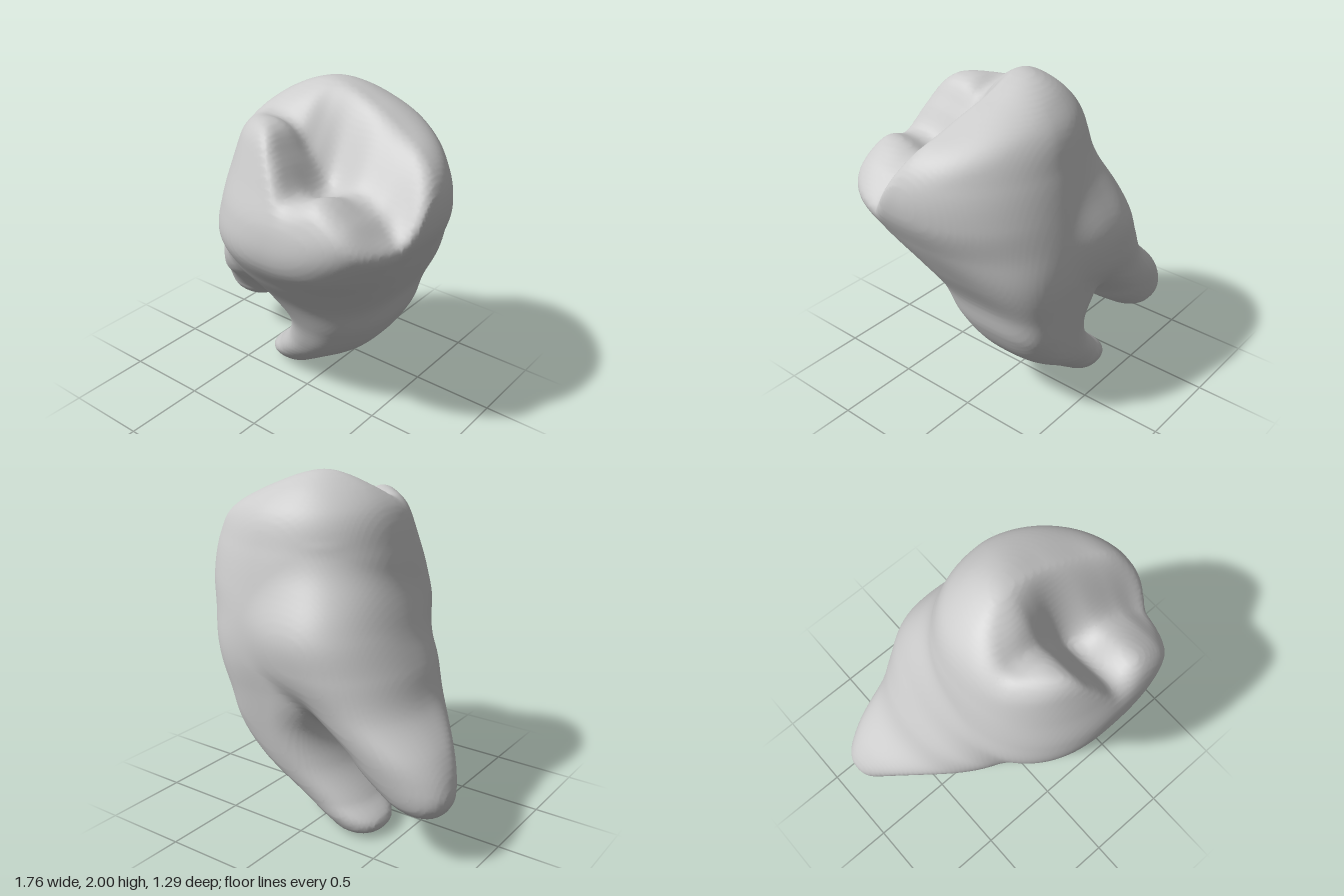
import * as THREE from 'three';

// Horizontal cross-sections: [y, xMin, xMax, zMin, zMax, squareness of front +x corner, of back +x corner]
const CROWN_AND_FRONT_ROOT = [
  [0.0, -0.28, -0.23, -0.29, -0.22, 2.2, 2.2],
  [0.018, -0.36, -0.15, -0.36, -0.14, 2.2, 2.2],
  [0.07, -0.41, -0.07, -0.41, -0.07, 2.2, 2.3],
  [0.2, -0.3, 0.1, -0.45, 0.03, 2.2, 2.5],
  [0.4, -0.155, 0.36, -0.5, 0.14, 2.2, 3],
  [0.6, -0.12, 0.49, -0.535, 0.23, 2.3, 3.9],
  [0.8, -0.25, 0.555, -0.565, 0.34, 2.3, 4.2],
  [1.0, -0.38, 0.67, -0.595, 0.49, 2.4, 3.3],
  [1.2, -0.4, 0.78, -0.59, 0.625, 2.7, 2.4],
  [1.4, -0.355, 0.87, -0.55, 0.64, 3.2, 2.0],
  [1.6, -0.31, 0.865, -0.5, 0.575, 3.1, 1.8],
  [1.8, -0.24, 0.75, -0.43, 0.5, 2.7, 1.75],
  [1.9, -0.16, 0.58, -0.34, 0.46, 2.4, 1.9],
  [2.05, 0.0, 0.3, -0.15, 0.3, 2.3, 2.0],
];
const SIDE_ROOT = [
  [0.28, -0.73, -0.68, -0.38, -0.33, 2.2, 2.2],
  [0.3, -0.81, -0.61, -0.44, -0.26, 2.2, 2.2],
  [0.35, -0.865, -0.51, -0.49, -0.2, 2.2, 2.2],
  [0.4, -0.88, -0.44, -0.51, -0.17, 2.2, 2.2],
  [0.5, -0.855, -0.31, -0.535, -0.09, 2.2, 2.2],
  [0.6, -0.795, -0.22, -0.555, 0.01, 2.2, 2.3],
  [0.8, -0.62, 0.04, -0.585, 0.25, 2.2, 2.5],
  [1.0, -0.53, 0.31, -0.63, 0.38, 2.2, 2.5],
  [1.2, -0.43, 0.38, -0.635, 0.37, 2.2, 2.3],
  [1.4, -0.32, 0.33, -0.53, 0.25, 2.2, 2.2],
  [1.6, -0.15, 0.2, -0.35, 0.15, 2.2, 2.2],
];
// Heights of the chewing surface along x, for the front and back cusps
const FRONT_CUSPS = [[-0.4, 1.78], [-0.1, 1.85], [0.1, 1.84], [0.19, 1.72], [0.3, 1.57],
  [0.5, 1.6], [0.65, 1.52], [0.8, 1.39], [1, 1.36]];
const BACK_CUSPS = [[-0.4, 1.88], [-0.1, 1.96], [0.12, 2.0], [0.4, 1.91], [0.62, 1.81],
  [0.75, 1.75], [1, 1.6]];

// Smooth curve through rows of [key, ...values]
function curve(rows) {
  const c = new THREE.CubicInterpolant(rows.map((r) => r[0]),
    rows.flatMap((r) => r.slice(1)), rows[0].length - 1);
  return (t) => Array.from(c.evaluate(t));
}
const bodyAt = curve(CROWN_AND_FRONT_ROOT);
const rootAt = curve(SIDE_ROOT);
const frontAt = curve(FRONT_CUSPS);
const backAt = curve(BACK_CUSPS);

// Signed field of a rounded oval cross-section
function oval(x, z, [x0, x1, z0, z1, frontCorner, backCorner]) {
  const rx = (x1 - x0) / 2, rz = (z1 - z0) / 2;
  const u = (x - (x0 + x1) / 2) / rx, v = (z - (z0 + z1) / 2) / rz;
  const power = u < 0 ? 2.25 : v > 0 ? frontCorner : backCorner;
  return ((Math.abs(u) ** power + Math.abs(v) ** power) ** (1 / power) - 1) * Math.min(rx, rz);
}
function smoothMin(a, b, k) {
  const h = Math.max(k - Math.abs(a - b), 0) / k;
  return Math.min(a, b) - h * h * k / 4;
}
const smoothMax = (a, b, k) => -smoothMin(-a, -b, k);

// Chewing surface: high back cusps step down along a bent fissure to the front cusps
function chewingHeight(x, z, front, back) {
  const bend = 0.3 * (x - 0.2) ** 2;
  const t = THREE.MathUtils.smoothstep(z - bend, -0.09, 0.21);
  const basin = 0.06 * Math.exp(-(((x - 0.42) / 0.25) ** 2) - ((z - 0.27) / 0.12) ** 2);
  const fissure = 0.05 * Math.exp(-(((x - 0.08) / 0.16) ** 2) - ((z - 0.19) / 0.07) ** 2);
  return THREE.MathUtils.lerp(back, front, t) - basin - fissure;
}

// Wraps a mesh around the zero level of values sampled on a grid
function skinGrid(values, size, origin, step) {
  const stride = [1, size[0], size[0] * size[1]];
  const positions = [], index = [], cellVertex = new Map();
  const eachCell = (from, visit) => {
    for (let k = from; k < size[2] - 1; k++)
      for (let j = from; j < size[1] - 1; j++)
        for (let i = from; i < size[0] - 1; i++)
          visit([i, j, k], i + j * stride[1] + k * stride[2]);
  };
  // One vertex per crossed cell, at the mean of its edge crossings
  eachCell(0, (cell, id) => {
    const sum = [0, 0, 0];
    let count = 0;
    for (let a = 0; a < 3; a++) {
      const b = (a + 1) % 3, c = (a + 2) % 3;
      for (let n = 0; n < 4; n++) {
        const p = id + (n & 1) * stride[b] + (n >> 1) * stride[c];
        const f0 = values[p], f1 = values[p + stride[a]];
        if ((f0 < 0) === (f1 < 0)) continue;
        sum[a] += f0 / (f0 - f1);
        sum[b] += n & 1;
        sum[c] += n >> 1;
        count++;
      }
    }
    if (!count) return;
    cellVertex.set(id, positions.length / 3);
    for (let a = 0; a < 3; a++) positions.push(origin[a] + step * (cell[a] + sum[a] / count));
  });
  // One quad per crossed grid edge
  eachCell(1, (cell, id) => {
    for (let a = 0; a < 3; a++) {
      const inside = values[id] < 0;
      if (inside === (values[id + stride[a]] < 0)) continue;
      const u = stride[(a + 1) % 3], v = stride[(a + 2) % 3];
      const q = [id - u - v, id - v, id, id - u].map((c) => cellVertex.get(c));
      if (!inside) q.reverse();
      index.push(q[0], q[1], q[2], q[0], q[2], q[3]);
    }
  });
  const geometry = new THREE.BufferGeometry();
  geometry.setAttribute('position', new THREE.Float32BufferAttribute(positions, 3));
  geometry.setIndex(index);
  geometry.computeVertexNormals();
  return geometry;
}

function toothGeometry() {
  const step = 0.02, origin = [-1.01, -0.05, -0.75], size = [101, 108, 75];
  const values = new Float32Array(size[0] * size[1] * size[2]);
  const xs = Array.from({ length: size[0] }, (_, i) => origin[0] + i * step);
  const fronts = xs.map((x) => frontAt(x)[0]);
  const backs = xs.map((x) => backAt(x)[0]);
  for (let j = 0; j < size[1]; j++) {
    const y = origin[1] + j * step;
    const body = bodyAt(y), root = rootAt(y);
    for (let k = 0; k < size[2]; k++) {
      const z = origin[2] + k * step;
      for (let i = 0; i < size[0]; i++) {
        const x = xs[i];
        // Crown and front root, cut by the chewing surface
        let f = Math.max(oval(x, z, body), -y);
        f = smoothMax(f, (y - chewingHeight(x, z, fronts[i], backs[i])) * 0.8, 0.08);
        // Side root melts into the crown
        const side = Math.max(oval(x, z, root), 0.28 - y, y - 1.6);
        values[i + size[0] * (j + size[1] * k)] = smoothMin(f, side, 0.08);
      }
    }
  }
  return skinGrid(values, size, origin, step);
}

export function createModel() {
  const group = new THREE.Group();
  group.name = 'molarTooth';
  const geometry = toothGeometry();
  // Stand on the ground, centred
  geometry.computeBoundingBox();
  const { min, max } = geometry.boundingBox;
  geometry.translate(-(min.x + max.x) / 2, -min.y, -(min.z + max.z) / 2);
  const tooth = new THREE.Mesh(geometry, new THREE.MeshStandardMaterial({ color: 0xcccccc }));
  tooth.name = 'crownAndRoots';
  group.add(tooth);
  return group;
}
